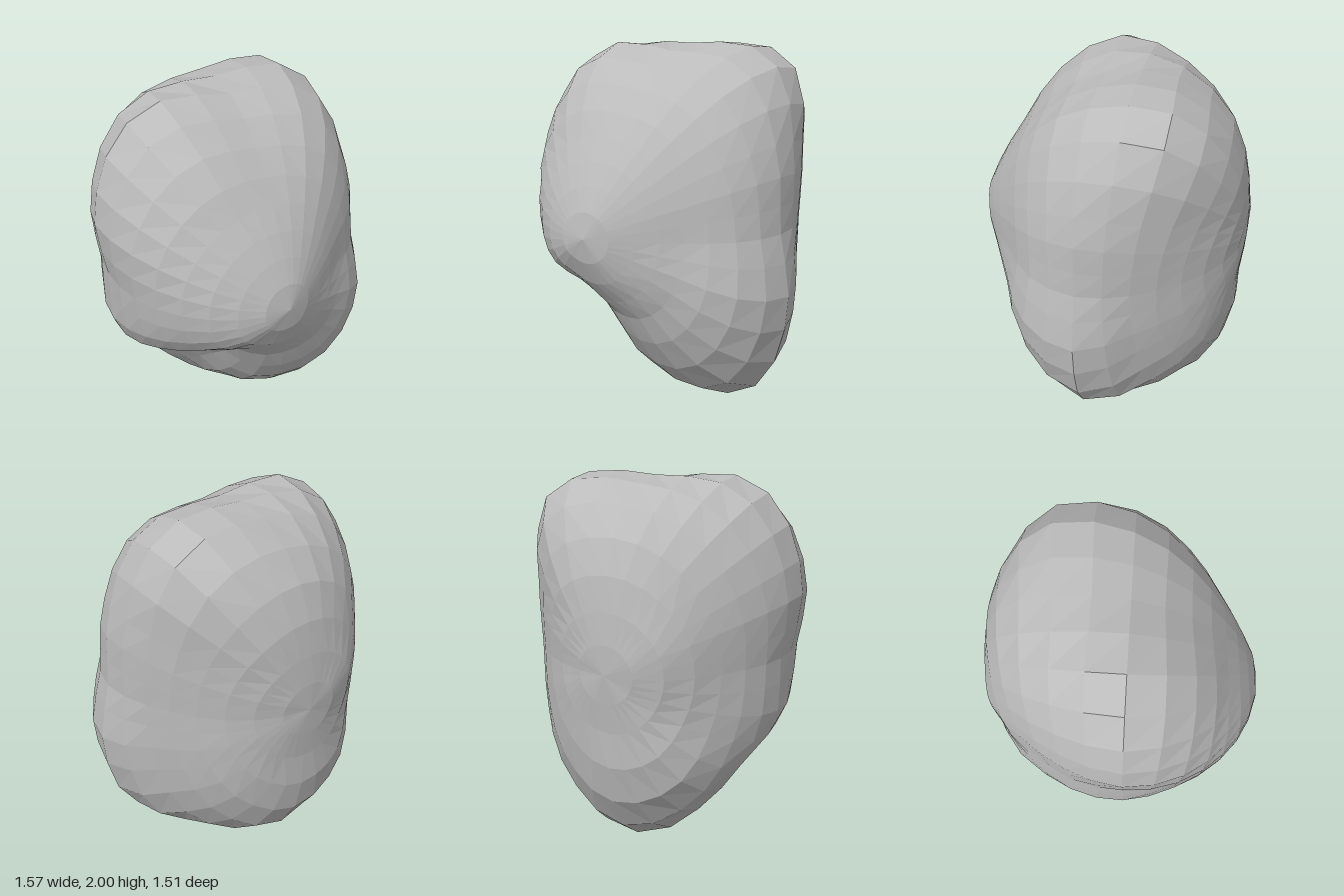
import * as THREE from 'three';

// Radii every 22.5 degrees from the front pole (rows) and every 30 degrees around z from +x (columns)
const ROWS = [
  [0.635, 0.645, 0.665, 0.68, 0.695, 0.715, 0.73, 0.73, 0.69, 0.68, 0.675, 0.65],
  [0.62, 0.64, 0.68, 0.695, 0.73, 0.75, 0.735, 0.71, 0.60, 0.66, 0.70, 0.68],
  [0.69, 0.72, 0.79, 0.785, 0.88, 0.83, 0.73, 0.73, 0.60, 0.80, 0.90, 0.83],
  [0.735, 0.81, 0.96, 0.90, 1.02, 0.88, 0.72, 0.785, 0.73, 0.97, 1.09, 0.91],
  [0.72, 0.82, 1.07, 0.98, 0.96, 0.83, 0.73, 0.81, 0.94, 1.13, 1.00, 0.80],
  [0.725, 0.79, 0.95, 0.95, 0.89, 0.80, 0.74, 0.80, 0.96, 1.02, 0.91, 0.78],
  [0.76, 0.79, 0.83, 0.84, 0.83, 0.82, 0.80, 0.80, 0.83, 0.83, 0.81, 0.78],
];
const FRONT = 0.71, BACK = 0.795, RINGS = 16, SEGMENTS = 32;
const CENTRE = new THREE.Vector3(-0.02, 1.06, 0.04);

const cubic = (a, b, c, d, t) =>
  b + 0.5 * t * (c - a + t * (2 * a - 5 * b + 4 * c - d + t * (3 * (b - c) + d - a)));

// Radius on one row at a column position, wrapping around; rows past a pole continue opposite
function rowRadius(row, col) {
  if (row < 0) return rowRadius(-row, col + 6);
  if (row > 8) return rowRadius(16 - row, col + 6);
  if (row === 0) return FRONT;
  if (row === 8) return BACK;
  const k = Math.floor(col), at = (n) => ROWS[row - 1][(n + 24) % 12];
  return cubic(at(k - 1), at(k), at(k + 1), at(k + 2), col - k);
}

function radius(row, col) {
  const k = Math.min(Math.floor(row), 7);
  return cubic(...[-1, 0, 1, 2].map((n) => rowRadius(k + n, col)), row - k);
}

// Lumpy boulder body: a polar grid about the z axis
function boulderGeometry() {
  const points = [], index = [];
  for (let i = 0; i <= RINGS; i++) {
    for (let j = 0; j < SEGMENTS; j++) {
      const theta = (i / RINGS) * Math.PI, phi = (j / SEGMENTS) * Math.PI * 2;
      const r = radius((i / RINGS) * 8, (j / SEGMENTS) * 12);
      points.push(r * Math.sin(theta) * Math.cos(phi), r * Math.sin(theta) * Math.sin(phi), r * Math.cos(theta));
      if (i === RINGS) continue;
      const a = i * SEGMENTS + j, d = i * SEGMENTS + ((j + 1) % SEGMENTS);
      const b = a + SEGMENTS, c = d + SEGMENTS;
      if (i < RINGS - 1) index.push(a, b, c);
      if (i > 0) index.push(a, c, d);
    }
  }
  const geometry = new THREE.BufferGeometry();
  geometry.setAttribute('position', new THREE.Float32BufferAttribute(points, 3));
  geometry.setIndex(index);
  geometry.computeVertexNormals();
  return geometry;
}

export function createModel() {
  const stone = new THREE.MeshStandardMaterial({ color: 0xbbbbbb, flatShading: true });
  stone.name = 'grey stone';
  const boulder = new THREE.Mesh(boulderGeometry(), stone);
  boulder.name = 'boulder';
  boulder.position.copy(CENTRE);
  const model = new THREE.Group();
  model.name = 'asteroid';
  model.add(boulder);
  return model;
}
